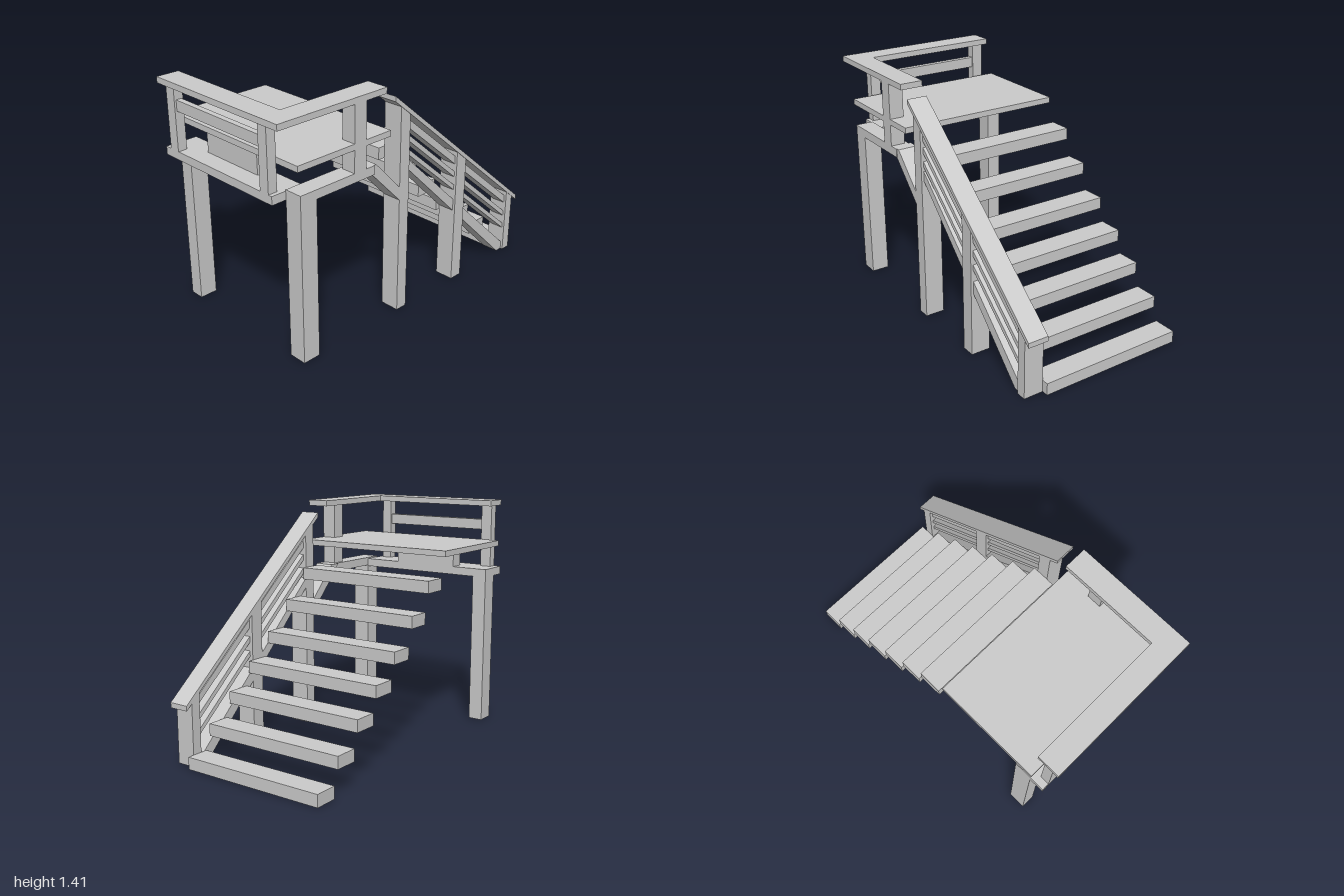
import * as THREE from 'three';

const material = new THREE.MeshStandardMaterial({ color: 0xcccccc, flatShading: true });

export function createModel() {
  const group = new THREE.Group();

  const add = (name, geometry) => {
    const mesh = new THREE.Mesh(geometry, material);
    mesh.name = name;
    group.add(mesh);
  };

  // Box given by its low and high limits on each axis
  const box = (name, [x0, x1], [y0, y1], [z0, z1]) => {
    const g = new THREE.BoxGeometry(x1 - x0, y1 - y0, z1 - z0);
    g.translate((x0 + x1) / 2, (y0 + y1) / 2, (z0 + z1) / 2);
    add(name, g);
  };

  // Side outline of [z, y] points, extruded from x0 to x1
  const profile = (name, points, [x0, x1]) => {
    const shape = new THREE.Shape(points.map(([z, y]) => new THREE.Vector2(z, y)));
    const g = new THREE.ExtrudeGeometry(shape, { depth: x1 - x0, bevelEnabled: false });
    g.rotateY(-Math.PI / 2);
    g.translate(x1, 0, 0);
    add(name, g);
  };

  // Sloping board between two [z, topY] ends with vertical cut ends
  const slope = (name, [za, ya], [zb, yb], thick, xs) =>
    profile(name, [[za, ya], [zb, yb], [zb, yb - thick], [za, ya - thick]], xs);

  // Stair treads
  const treads = [
    [0, -1, -0.86], [0.15, -0.83, -0.685], [0.3, -0.66, -0.515], [0.445, -0.49, -0.34],
    [0.595, -0.315, -0.17], [0.765, -0.14, 0], [0.94, 0.03, 0.175],
  ];
  treads.forEach(([y, z0, z1]) => box('tread', [-0.52, 0.39], [y, y + 0.072], [z0, z1]));

  // Platform, its support block and beams
  box('platform', [-0.52, 0.515], [1.13, 1.165], [0.215, 0.88]);
  box('supportBlock', [-0.265, 0.16], [0.99, 1.13], [0.755, 0.845]);
  box('frontBeam', [-0.5, 0.405], [0.94, 0.99], [0.755, 0.957]);
  box('sideBeam', [0.405, 0.515], [0.945, 0.998], [0.34, 0.755]);

  // Platform legs
  box('rightLeg', [-0.5, -0.41], [0, 0.94], [0.755, 0.865]);
  box('leftLeg', [0.405, 0.515], [0, 0.998], [0.755, 0.865]);

  // Diagonal brace from the side beam to the tall stair post
  profile('brace', [[0.39, 0.998], [0.32, 0.998], [0.13, 0.8], [0.13, 0.72], [0.35, 0.945]], [0.39, 0.51]);

  // Platform railing
  box('frontTopRail', [-0.47, 0.515], [1.38, 1.415], [0.86, 1]);
  box('sideTopRail', [0.375, 0.515], [1.38, 1.415], [0.25, 0.86]);
  box('frontRailPost', [-0.455, -0.385], [0.99, 1.38], [0.9, 0.957]);
  box('frontRailPost', [0.315, 0.38], [0.99, 1.38], [0.9, 0.957]);
  box('sideRailPost', [0.425, 0.515], [0.998, 1.38], [0.4, 0.487]);
  box('frontRailSlat', [-0.385, 0.315], [1.225, 1.29], [0.91, 0.945]);

  // Stair handrail and posts cut to its slope
  const railTop = (z) => 1.345 + (z - 0.18) * 0.83;
  slope('handrail', [0.18, railTop(0.18)], [-1, railTop(-1)], 0.03, [0.39, 0.515]);
  const posts = [[-0.96, -0.9], [-0.455, -0.37], [0.055, 0.13]];
  posts.forEach(([a, b]) =>
    profile('stairPost', [[a, 0], [b, 0], [b, railTop(b) - 0.015], [a, railTop(a) - 0.015]], [0.39, 0.51]));

  // Slats between the stair posts: top at the upper post, top at the lower post, thickness
  const slats = [[1.185, 0.385, 0.05], [1.095, 0.275, 0.035], [1.01, 0.185, 0.033]];
  slats.forEach(([hi, lo, t]) => slope('stairSlat', [0.06, hi], [-0.905, lo], t, [0.41, 0.495]));

  // Bottom stringer, cut level at the ground
  profile('stringer', [[0.06, 0.95], [-0.905, 0.045], [-0.905, 0], [-0.855, 0], [0.06, 0.89]], [0.39, 0.495]);

  return group;
}
